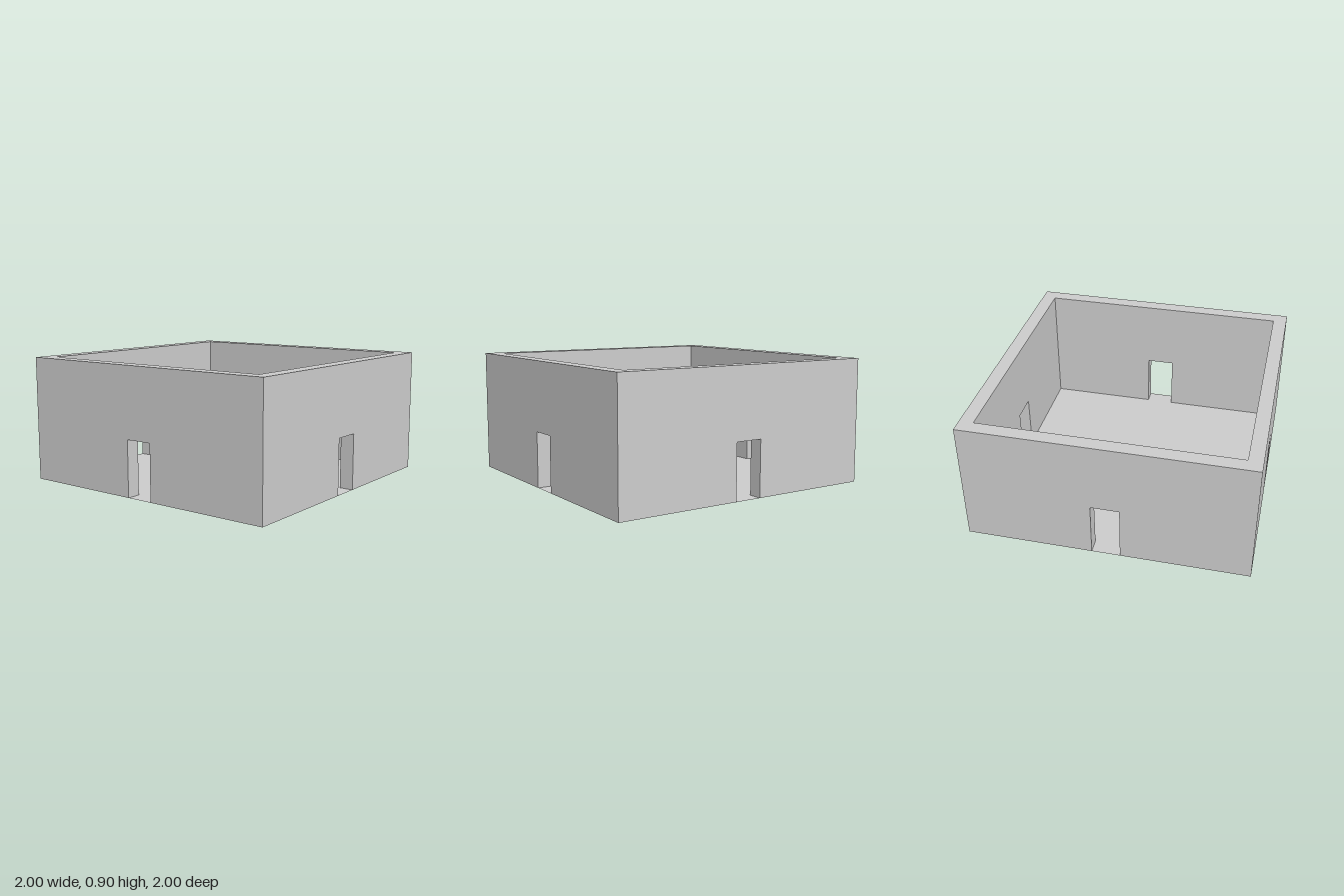
import * as THREE from 'three';

const HALF = 1, INNER = 0.9, HEIGHT = 0.9, DOOR = 0.1, DOOR_TOP = 0.4;
const THICK = HALF - INNER;

// The shell is open underneath, so its surfaces show from both sides
const material = new THREE.MeshStandardMaterial({ color: 0xcccccc, side: THREE.DoubleSide });

function part(name, geometry, parent) {
  const mesh = new THREE.Mesh(geometry, material);
  mesh.name = name;
  parent.add(mesh);
  return mesh;
}

function polygon(points) {
  return new THREE.Shape(points.map(([x, y]) => new THREE.Vector2(x, y)));
}

// Upright wall face with a doorway cut up from the ground
function wallFace(half) {
  return new THREE.ShapeGeometry(polygon([
    [-half, 0], [-DOOR, 0], [-DOOR, DOOR_TOP], [DOOR, DOOR_TOP],
    [DOOR, 0], [half, 0], [half, HEIGHT], [-half, HEIGHT],
  ]));
}

function wall(name) {
  const group = new THREE.Group();
  group.name = name;
  part('outerFace', wallFace(HALF), group).position.z = HALF;
  const inner = part('innerFace', wallFace(INNER), group);
  inner.rotation.y = Math.PI;
  inner.position.z = INNER;

  // Door lining: two jambs and a lintel across the wall thickness
  const middle = (HALF + INNER) / 2;
  for (const side of [-1, 1]) {
    const jamb = part('doorJamb', new THREE.PlaneGeometry(THICK, DOOR_TOP), group);
    jamb.rotation.y = -side * Math.PI / 2;
    jamb.position.set(side * DOOR, DOOR_TOP / 2, middle);
  }
  const lintel = part('doorLintel', new THREE.PlaneGeometry(2 * DOOR, THICK), group);
  lintel.rotation.x = Math.PI / 2;
  lintel.position.set(0, DOOR_TOP, middle);
  return group;
}

export function createModel() {
  const model = new THREE.Group();
  model.name = 'roofless room';

  // Four identical walls, each with a central doorway
  ['frontWall', 'leftWall', 'backWall', 'rightWall'].forEach((name, i) => {
    const side = wall(name);
    side.rotation.y = i * Math.PI / 2;
    model.add(side);
  });

  // Flat rim closing the top of the walls
  const square = (h) => [[-h, -h], [h, -h], [h, h], [-h, h]];
  const rim = polygon(square(HALF));
  rim.holes.push(polygon(square(INNER)));
  const top = part('wallTop', new THREE.ShapeGeometry(rim), model);
  top.rotation.x = -Math.PI / 2;
  top.position.y = HEIGHT;

  // Thin floor with a threshold reaching out through each doorway
  const outline = [];
  for (let i = 0; i < 4; i++) {
    const c = Math.round(Math.cos(i * Math.PI / 2)), s = Math.round(Math.sin(i * Math.PI / 2));
    for (const [x, y] of [[-INNER, -INNER], [-DOOR, -INNER], [-DOOR, -HALF], [DOOR, -HALF], [DOOR, -INNER]]) {
      outline.push([x * c - y * s, x * s + y * c]);
    }
  }
  part('floor', new THREE.ShapeGeometry(polygon(outline)), model).rotation.x = -Math.PI / 2;

  return model;
}
